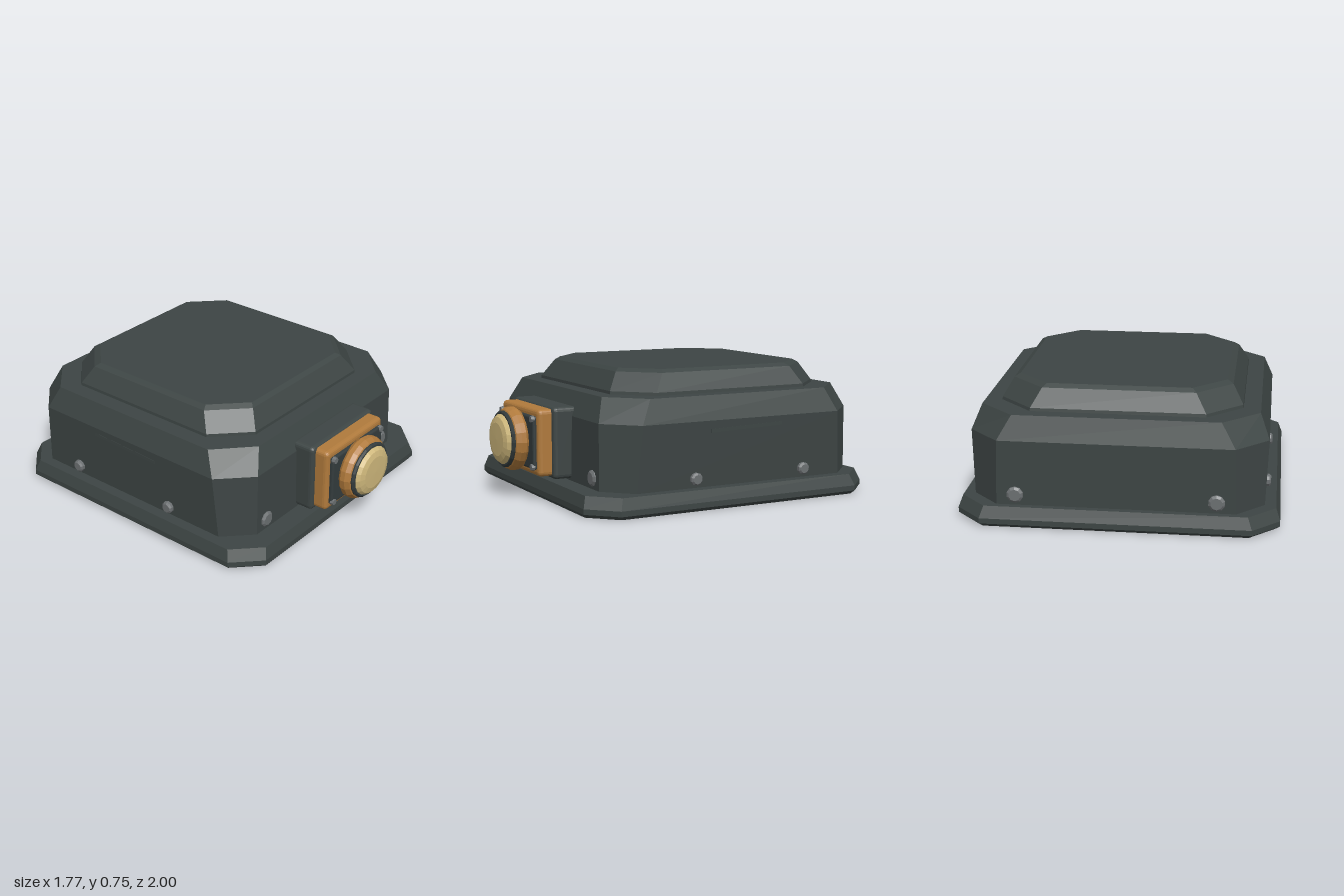
import * as THREE from 'three';
import { RoundedBoxGeometry } from 'three/addons/geometries/RoundedBoxGeometry.js';

const paint = (name, color) => {
  const m = new THREE.MeshStandardMaterial({ color });
  m.name = name;
  m.flatShading = true;
  return m;
};

// Octagonal ring: half width, back z, front z, corner cuts along x and z
function ring([y, hx, z0, z1, cx, cz = cx]) {
  return [
    [-hx + cx, y, z1], [hx - cx, y, z1], [hx, y, z1 - cz], [hx, y, z0 + cz],
    [hx - cx, y, z0], [-hx + cx, y, z0], [-hx, y, z0 + cz], [-hx, y, z1 - cz],
  ];
}

// Joins rings in order with flat faces, optionally closing the first and last
function stack(rows, capStart, capEnd) {
  const loops = rows.map(ring), pos = [];
  const tri = (a, b, c) => pos.push(...a, ...b, ...c);
  for (let i = 0; i < loops.length - 1; i++) {
    for (let k = 0; k < 8; k++) {
      const n = (k + 1) % 8, a = loops[i][k], b = loops[i][n], c = loops[i + 1][n], d = loops[i + 1][k];
      tri(a, b, c);
      tri(a, c, d);
    }
  }
  const first = loops[0], last = loops[loops.length - 1];
  for (let k = 1; k < 7; k++) {
    if (capStart) tri(first[0], first[k + 1], first[k]);
    if (capEnd) tri(last[0], last[k], last[k + 1]);
  }
  const g = new THREE.BufferGeometry();
  g.setAttribute('position', new THREE.Float32BufferAttribute(pos, 3));
  g.computeVertexNormals();
  return g;
}

// Turned solid along z, profile given as radius and depth
function turn(profile, sides) {
  return new THREE.LatheGeometry(profile.map(p => new THREE.Vector2(...p)), sides).rotateX(Math.PI / 2);
}

export function createModel() {
  const model = new THREE.Group();
  const shell = paint('dark slate', 0x3d4544);
  const trim = paint('dark trim', 0x343c3d);
  const bronze = paint('bronze', 0xb07a3c);
  const gold = paint('pale gold', 0xcfb87c);
  const steel = paint('grey steel', 0x6c7072);

  const add = (name, geo, mat, x = 0, y = 0, z = 0, parent = model) => {
    const m = new THREE.Mesh(geo, mat);
    m.name = name;
    m.position.set(x, y, z);
    parent.add(m);
    return m;
  };

  // Hollow base flange
  add('baseFlange', stack([
    [0.06, 0.74, -0.87, 0.63, 0.16],
    [0, 0.74, -0.87, 0.63, 0.16],
    [0, 0.865, -0.98, 0.785, 0.145],
    [0.02, 0.885, -1, 0.8, 0.148],
    [0.05, 0.885, -1, 0.8, 0.148],
    [0.115, 0.862, -0.975, 0.78, 0.148],
    [0.115, 0.79, -0.93, 0.65, 0.15],
  ]), shell);

  // Inner cavity, lower rim, outer walls, shoulder and ledge
  add('bodyShell', stack([
    [0.54, 0.69, -0.83, 0.56, 0.17],
    [0.06, 0.728, -0.858, 0.618, 0.16],
    [0.06, 0.8, -0.94, 0.668, 0.15],
    [0.115, 0.8, -0.94, 0.668, 0.15],
    [0.48, 0.814, -0.945, 0.663, 0.175],
    [0.613, 0.762, -0.9, 0.607, 0.2, 0.19],
    [0.613, 0.64, -0.8, 0.5, 0.18],
  ], true, false), shell);

  // Raised lid
  add('topLid', stack([
    [0.6, 0.668, -0.825, 0.517, 0.19],
    [0.63, 0.665, -0.82, 0.515, 0.19],
    [0.73, 0.607, -0.765, 0.45, 0.19],
    [0.748, 0.575, -0.735, 0.425, 0.18],
  ], false, true), shell);

  // Faint side seams and chamfered bolts, mirrored
  const boltHead = (r) => turn([[r, -0.02], [r, 0.012], [r * 0.72, 0.022], [0, 0.022]], 10);
  const sideHead = boltHead(0.036), endHead = boltHead(0.046);
  const bolt = (name, geo, x, y, z, angle) => { add(name, geo, steel, x, y, z).rotation.y = angle; };
  for (const s of [-1, 1]) {
    const seam = add('sideSeam', new THREE.BoxGeometry(0.006, 0.02, 0.46), shell, s * 0.811, 0.43, -0.16);
    seam.rotation.x = 0.03;
    for (const z of [0.16, -0.54]) bolt('sideBolt', sideHead, s * 0.807, 0.165, z, s * Math.PI / 2);
    bolt('frontBolt', endHead, s * 0.565, 0.175, 0.66, 0);
    bolt('backBolt', endHead, s * 0.545, 0.175, -0.938, Math.PI);
  }

  // Front lamp housing
  const lamp = new THREE.Group();
  lamp.name = 'frontLamp';
  lamp.position.y = 0.333;
  model.add(lamp);
  add('lampMount', new RoundedBoxGeometry(0.59, 0.405, 0.15, 2, 0.025), shell, 0, -0.003, 0.7, lamp);
  add('lampFrame', new RoundedBoxGeometry(0.54, 0.376, 0.12, 2, 0.025), bronze, 0, 0, 0.795, lamp);
  add('lampPlate', new RoundedBoxGeometry(0.485, 0.3, 0.06, 2, 0.012), trim, 0, 0, 0.846, lamp);
  const screw = new THREE.CylinderGeometry(0.018, 0.021, 0.02, 8).rotateX(Math.PI / 2);
  for (const x of [-0.225, 0.225]) {
    for (const y of [-0.135, 0.135]) add('plateScrew', screw, steel, x, y, 0.874, lamp);
  }

  // Round lamp: bulged ring, gasket and domed lens
  const turned = (name, profile, mat) => {
    add(name, turn(profile, 20), mat, 0, 0, 0, lamp).scale.x = 1.08;
  };
  turned('lampRing', [[0.155, 0.86], [0.168, 0.872], [0.182, 0.892], [0.182, 0.92], [0.168, 0.945], [0.155, 0.953], [0.14, 0.953]], bronze);
  turned('lensGasket', [[0.16, 0.945], [0.163, 0.957], [0.153, 0.967], [0.13, 0.967]], trim);
  turned('lens', [[0.143, 0.95], [0.143, 0.97], [0.128, 0.988], [0.095, 0.998], [0, 1]], gold);

  return model;
}
